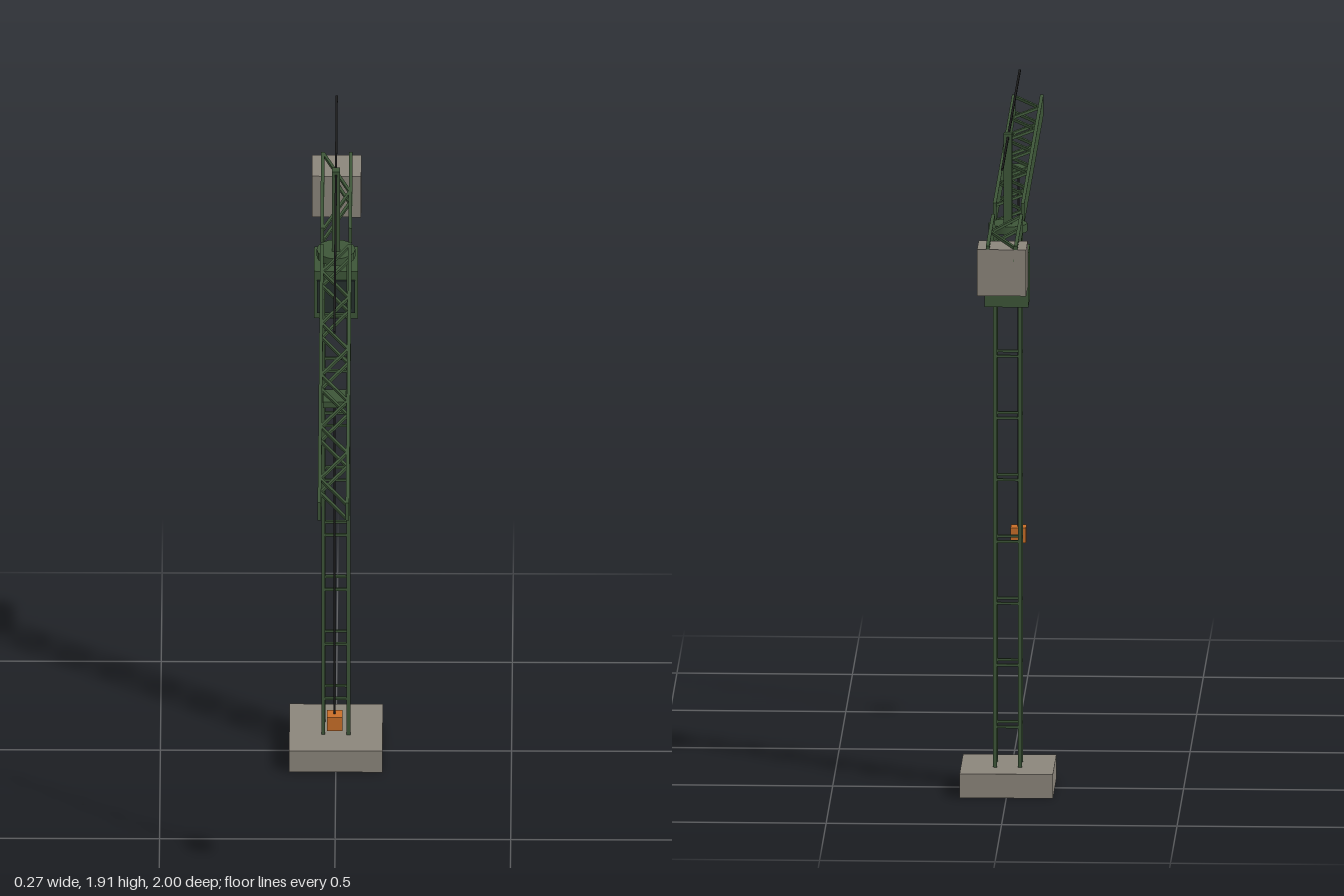
import * as THREE from 'three';

const mat = (name, color) => {
  const m = new THREE.MeshStandardMaterial({ color });
  m.name = name;
  return m;
};

export function createModel() {
  const crane = new THREE.Group();
  crane.name = 'towerCrane';
  const green = mat('green paint', 0x3d5638);
  const concrete = mat('concrete', 0x8b857b);
  const cableBlack = mat('cable black', 0x1a1a1a);
  const orange = mat('hook orange', 0xc86e28);
  const glass = mat('dark glass', 0x25302d);
  const towerZ = -0.511;

  function box(name, material, w, h, d, x, y, z, parent = crane) {
    const mesh = new THREE.Mesh(new THREE.BoxGeometry(w, h, d), material);
    mesh.name = name;
    mesh.position.set(x, y, z);
    parent.add(mesh);
    return mesh;
  }
  // square bar running between two points
  function bar(name, material, a, b, t, parent) {
    const mid = a.clone().add(b).multiplyScalar(0.5);
    const mesh = box(name, material, t, t, a.distanceTo(b), mid.x, mid.y, mid.z, parent);
    mesh.lookAt(b);
    return mesh;
  }

  // foundation block
  box('foundation', concrete, 0.266, 0.07, 0.266, 0, 0.035, towerZ);

  // lattice tower: four legs and square rings of rungs
  const tower = new THREE.Group();
  tower.name = 'tower';
  crane.add(tower);
  const r = 0.036;
  for (const sx of [-1, 1]) {
    for (const sz of [-1, 1]) {
      box('towerLeg', green, 0.011, 1.56, 0.011, sx * r, 0.85, towerZ + sz * r, tower);
    }
  }
  for (let i = 0; i < 8; i++) {
    const y = 0.187 + i * 0.18;
    for (const s of [-1, 1]) {
      box('towerRung', green, 2 * r, 0.007, 0.007, 0, y, towerZ + s * r, tower);
      box('towerRung', green, 0.007, 0.007, 2 * r, s * r, y, towerZ, tower);
    }
  }

  // slewing ring and mast head
  const ring = new THREE.Mesh(new THREE.CylinderGeometry(0.055, 0.055, 0.023, 16), green);
  ring.name = 'slewingRing';
  ring.position.set(0, 1.636, towerZ);
  crane.add(ring);
  box('mastHead', green, 0.024, 0.265, 0.025, 0, 1.777, towerZ);

  // operator cab with front window
  box('cab', green, 0.125, 0.155, 0.139, 0, 1.506, -0.565);
  box('cabWindow', glass, 0.108, 0.105, 0.006, 0, 1.502, -0.493);

  // arm made of two side plates with zigzag lacing at top and bottom
  function arm(name, z0, z1, low, high, count, firstSide) {
    const g = new THREE.Group();
    g.name = name;
    crane.add(g);
    const h = high - low;
    for (const s of [-1, 1]) {
      box(name + 'Side', green, 0.01, h, Math.abs(z1 - z0), s * 0.04, low + h / 2, (z0 + z1) / 2, g);
    }
    for (const y of [low + 0.006, high - 0.006]) {
      const point = (i) => new THREE.Vector3(
        (i % 2 ? -firstSide : firstSide) * 0.038, y, z0 + ((z1 - z0) * i) / count);
      for (let i = 0; i < count; i++) bar(name + 'Lacing', green, point(i), point(i + 1), 0.008, g);
    }
  }
  arm('jib', 1.0, -0.46, 1.636, 1.694, 10, 1);
  arm('counterJib', -0.565, -0.995, 1.637, 1.685, 2, -1);

  // counterweight
  box('counterweight', concrete, 0.14, 0.135, 0.12, 0, 1.607, -0.936);

  // tie cable over the mast head
  bar('tieCable', cableBlack, new THREE.Vector3(0, 1.897, 0.387),
    new THREE.Vector3(0, 1.897, -0.945), 0.006, crane);

  // trolley, hoist cable and hook block
  box('trolley', green, 0.066, 0.02, 0.07, 0, 1.627, 0.298);
  box('hoistCable', cableBlack, 0.005, 1.04, 0.005, 0, 1.1, 0.298);
  box('hookBlock', orange, 0.044, 0.044, 0.044, 0, 0.566, 0.298);

  return crane;
}
